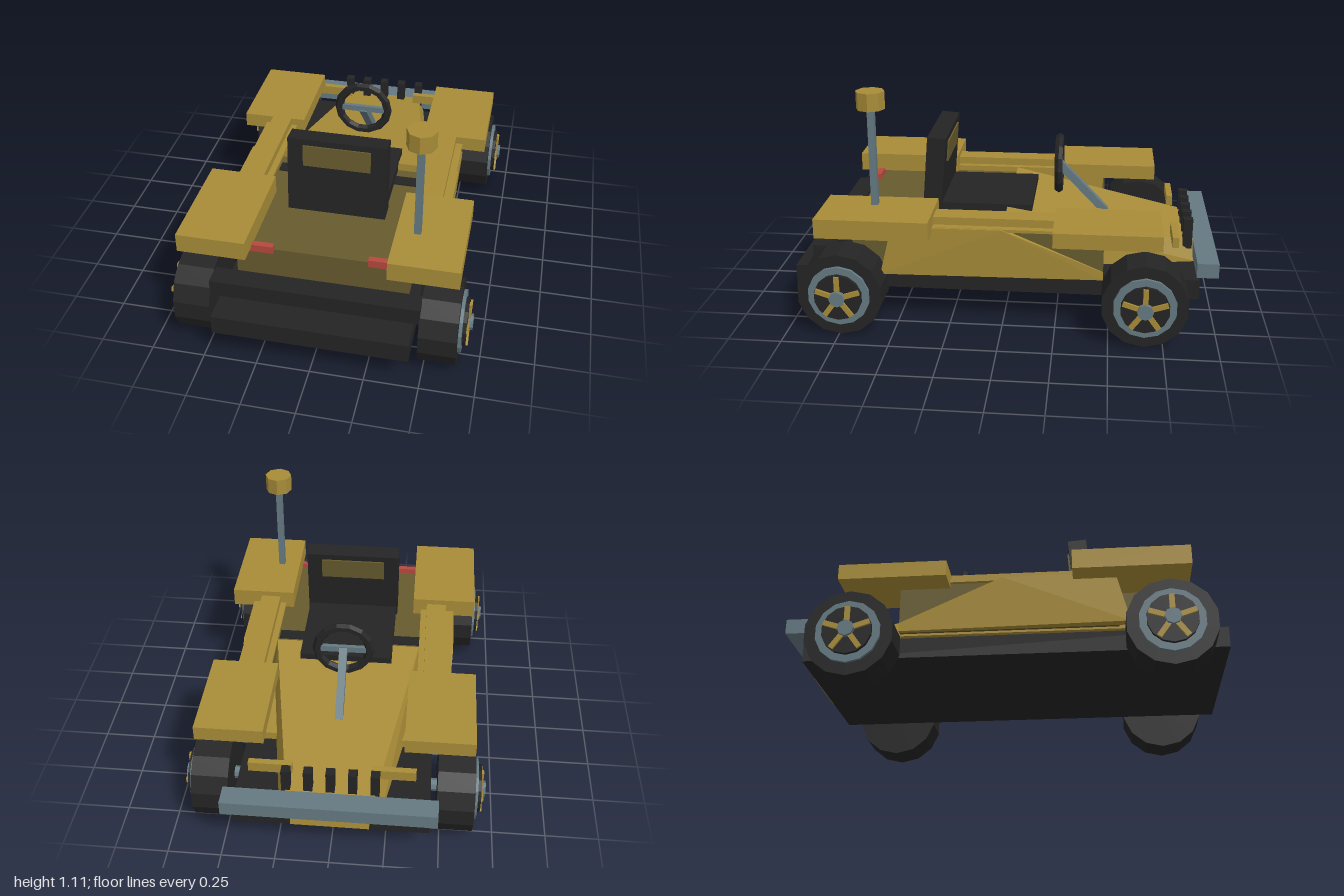
import * as THREE from 'three';
import { ConvexGeometry } from 'three/addons/geometries/ConvexGeometry.js';

const mat = (name, color) => {
  const m = new THREE.MeshStandardMaterial({ color, flatShading: true });
  m.name = name;
  return m;
};

export function createModel() {
  const gold = mat('gold', 0xa88c38);
  const olive = mat('darkOlive', 0x665a2e);
  const black = mat('black', 0x242424);
  const steel = mat('steel', 0x657982);
  const red = mat('red', 0xb5493e);
  const root = new THREE.Group();
  root.name = 'buggy';

  const add = (name, geo, m, parent = root) => {
    const mesh = new THREE.Mesh(geo, m);
    mesh.name = name;
    parent.add(mesh);
    return mesh;
  };
  // Box given by its min and max on each axis
  const box = (name, m, x0, x1, y0, y1, z0, z1, parent = root) => {
    const b = add(name, new THREE.BoxGeometry(Math.abs(x1 - x0), y1 - y0, z1 - z0), m, parent);
    b.position.set((x0 + x1) / 2, (y0 + y1) / 2, (z0 + z1) / 2);
    return b;
  };
  // Cylinder along x with a corner at the top
  const disc = (name, m, r, x0, x1, sides, parent) => {
    const geo = new THREE.CylinderGeometry(r, r, x1 - x0, sides, 1, false, Math.PI / 2).rotateZ(Math.PI / 2);
    const d = add(name, geo, m, parent);
    d.position.x = (x0 + x1) / 2;
    return d;
  };
  const convex = (name, m, pts) =>
    add(name, new ConvexGeometry(pts.map((p) => new THREE.Vector3(...p))), m);

  // Chassis and bumpers
  box('chassis', black, -0.45, 0.45, 0.155, 0.25, -0.92, 1);
  box('blackBumper', black, -0.48, 0.48, 0.29, 0.37, 0.8, 0.9);
  box('steelBumper', steel, -0.485, 0.485, 0.28, 0.35, -1, -0.9);
  box('sill', gold, -0.475, 0.475, 0.25, 0.29, -0.47, 0.56);
  const plate = box('nosePlate', gold, -0.18, 0.18, 0.175, 0.25, -0.935, -0.925);
  plate.rotation.x = 0.12;

  // Cabin deck and floor strip
  box('deck', olive, -0.4, 0.4, 0.25, 0.46, 0, 0.73);
  box('floorStrip', black, -0.36, 0.36, 0.46, 0.466, 0.06, 0.125);

  // Tapered hood
  const hood = [];
  for (const s of [-1, 1]) {
    hood.push([s * 0.36, 0.5, 0], [s * 0.39, 0.25, 0]);
    hood.push([s * 0.2, 0.35, -0.9], [s * 0.23, 0.25, -0.92]);
  }
  convex('hood', gold, hood);

  // Grille teeth
  for (let i = -2; i <= 2; i++) {
    box('grilleTooth', black, i * 0.1 - 0.02, i * 0.1 + 0.02, 0.31, 0.46, -0.895, -0.85);
  }

  for (const s of [-1, 1]) {
    // Fenders, rails and lamps
    box('rearFender', gold, s * 0.32, s * 0.64, 0.475, 0.567, 0.32, 0.845);
    box('frontFender', gold, s * 0.32, s * 0.64, 0.468, 0.54, -0.73, -0.24);
    box('sideRail', gold, s * 0.39, s * 0.49, 0.5, 0.54, -0.24, 0.32);
    box('sideShelf', gold, s * 0.36, s * 0.525, 0.488, 0.502, -0.24, 0.5);
    box('sideCore', olive, s * 0.43, s * 0.505, 0.26, 0.488, -0.47, 0.52);
    box('innerWall', gold, s * 0.4, s * 0.43, 0.26, 0.488, -0.46, 0.53);
    box('tailLight', red, s * 0.22, s * 0.37, 0.45, 0.487, 0.72, 0.75);
    box('headlampBar', gold, s * 0.18, s * 0.38, 0.38, 0.43, -0.82, -0.79);

    // Wedge-shaped outer panel
    const profile = [[0.57, 0.26], [0.51, 0.5], [0, 0.5], [-0.47, 0.3], [-0.47, 0.26]];
    convex('sidePanel', gold, profile.flatMap(([z, y]) => {
      const outer = z < -0.1 ? 0.51 : 0.533;
      return [[s * outer, y, z], [s * 0.49, y, z]];
    }));

    // Wheels, built for +x and turned round for -x
    for (const z of [0.74, -0.662]) {
      const wheel = new THREE.Group();
      wheel.name = 'wheel';
      wheel.position.set(0, 0.2, z);
      wheel.rotation.y = s > 0 ? 0 : Math.PI;
      root.add(wheel);
      disc('tyre', black, 0.2, 0.478, 0.65, 14, wheel);
      disc('rim', steel, 0.145, 0.64, 0.665, 14, wheel);
      disc('rimCentre', black, 0.112, 0.65, 0.682, 14, wheel);
      for (let i = 0; i < 5; i++) {
        const spoke = new THREE.Group();
        spoke.name = 'spoke';
        spoke.rotation.x = (i / 5) * Math.PI * 2;
        wheel.add(spoke);
        box('spokeBar', gold, 0.675, 0.692, 0.02, 0.107, -0.012, 0.012, spoke);
      }
      disc('hub', steel, 0.037, 0.67, 0.705, 8, wheel);
    }
  }

  // Axles
  for (const z of [0.74, -0.662]) {
    disc('axle', steel, 0.03, -0.5, 0.5, 8, root).position.set(0, 0.205, z);
  }

  // Seat, its back slightly tilted
  box('seatCushion', black, -0.228, 0.228, 0.43, 0.512, -0.12, 0.32);
  const back = new THREE.Group();
  back.name = 'seatBack';
  back.position.set(0, 0.44, 0.37);
  back.rotation.x = -0.08;
  root.add(back);
  box('backrest', black, -0.235, 0.235, 0, 0.4, -0.045, 0.045, back);
  box('backrestPanel', olive, -0.16, 0.16, 0.265, 0.37, -0.053, 0.053, back);

  // Steering wheel and column
  add('steeringWheel', new THREE.TorusGeometry(0.127, 0.022, 6, 14), black).position.set(0, 0.655, -0.24);
  box('steeringSpoke', steel, -0.115, 0.115, 0.64, 0.67, -0.25, -0.23);
  const top = new THREE.Vector3(0, 0.655, -0.24);
  const foot = new THREE.Vector3(0, 0.41, -0.475);
  const column = add('steeringColumn', new THREE.BoxGeometry(0.038, 0.038, top.distanceTo(foot)), steel);
  column.position.copy(top).add(foot).multiplyScalar(0.5);
  column.lookAt(top);

  // Mast with an eight-sided cap
  box('mast', steel, 0.402, 0.434, 0.44, 1.04, 0.589, 0.621);
  add('mastCap', new THREE.CylinderGeometry(0.067, 0.067, 0.083, 8), gold).position.set(0.418, 1.072, 0.605);

  return root;
}
